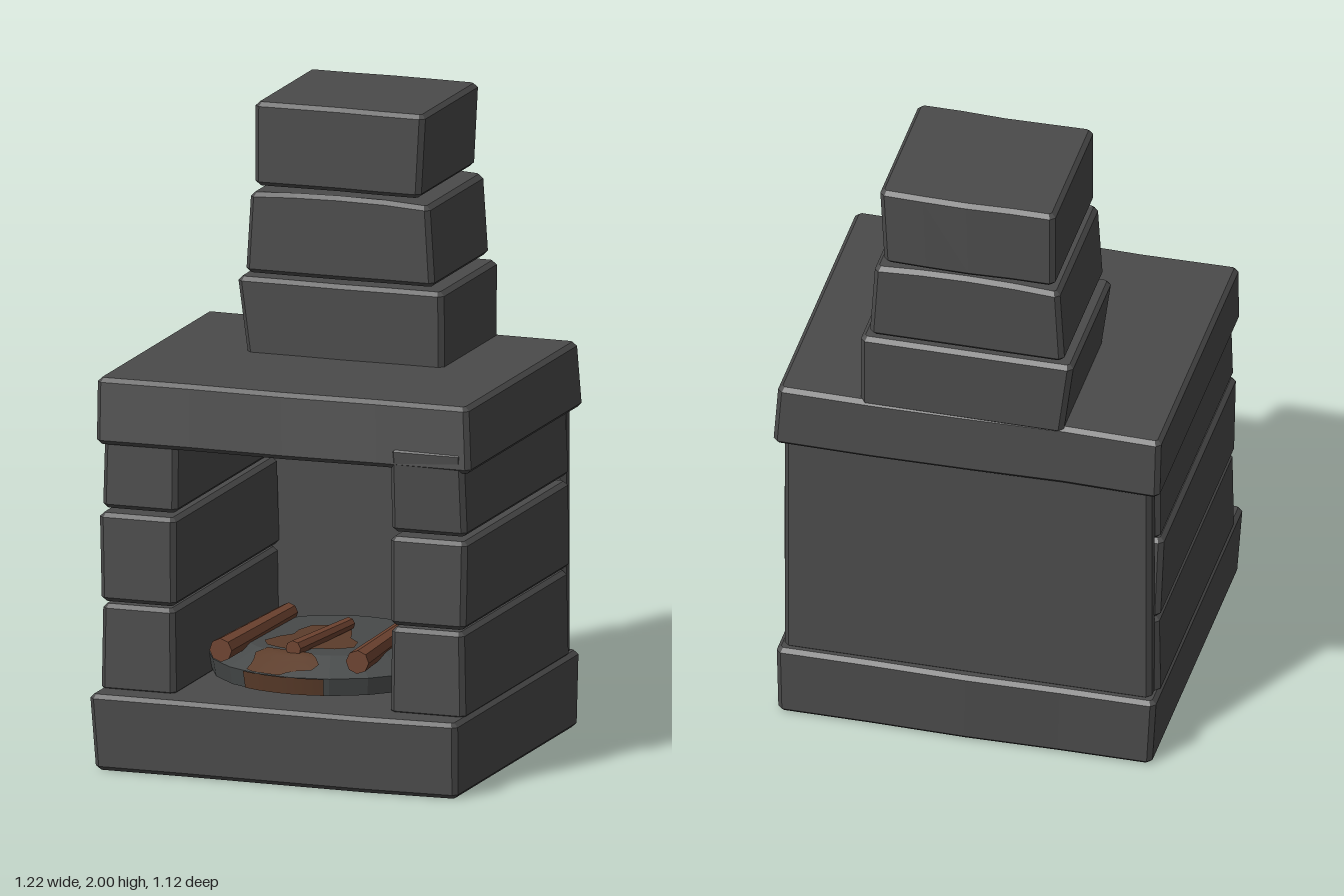
import * as THREE from 'three';

const material = (name, color) => {
  const m = new THREE.MeshStandardMaterial({ color });
  m.name = name;
  return m;
};

// Rough hewn block: chamfered plan outline, extruded and then skewed.
// front/back: bulge at three points along x; top: shift of [left, right, back, front] at the top;
// arch: rise of the middle of the top face.
function stoneGeometry([x0, x1], [y0, y1], [z0, z1], { front = [0, 0, 0], back = [0, 0, 0], top = [0, 0, 0, 0], arch = 0 } = {}) {
  const b = 0.013, c = 0.015, w = x1 - x0, h = y1 - y0;
  const at = (i) => x0 + w * (0.25 + 0.25 * i);
  const pts = [[x0, z1 - c], [x0 + c, z1]];
  front.forEach((o, i) => pts.push([at(i), z1 + o]));
  pts.push([x1 - c, z1], [x1, z1 - c], [x1, z0 + c], [x1 - c, z0]);
  for (let i = 2; i >= 0; i--) pts.push([at(i), z0 - back[i]]);
  pts.push([x0 + c, z0], [x0, z0 + c]);

  const shape = new THREE.Shape(pts.map(([x, z]) => new THREE.Vector2(x, -z)));
  const g = new THREE.ExtrudeGeometry(shape, {
    depth: h - 2 * b, bevelThickness: b, bevelSize: b, bevelOffset: -b, bevelSegments: 1,
  });
  g.rotateX(-Math.PI / 2).translate(0, y0 + b, 0);

  const p = g.attributes.position;
  for (let i = 0; i < p.count; i++) {
    const x = p.getX(i), y = p.getY(i), z = p.getZ(i);
    const u = (x - x0) / w, v = (z - z0) / (z1 - z0), t = (y - y0) / h;
    p.setXYZ(i,
      x + t * (top[0] * (1 - u) + top[1] * u),
      y + t * arch * 4 * u * (1 - u),
      z + t * (top[2] * (1 - v) + top[3] * v));
  }
  g.computeVertexNormals();
  return g;
}

export function createModel() {
  const stone = material('dark stone', 0x4b4b4b);
  const ash = material('ash grey', 0x474a4a);
  const wood = material('log wood', 0x6e4330);
  const ember = material('ember brown', 0x5c3d2b);

  const model = new THREE.Group();
  model.name = 'fireplace';
  const add = (name, geometry, mat, parent = model) => {
    const mesh = new THREE.Mesh(geometry, mat);
    mesh.name = name;
    parent.add(mesh);
    return mesh;
  };

  // Hearth slab, back wall and mantel
  add('hearthSlab', stoneGeometry([-0.585, 0.597], [0, 0.24], [-0.545, 0.535],
    { front: [0, 0.007, 0.012], back: [0, 0.005, 0], top: [-0.015, 0.003, -0.01, 0.013] }), stone);
  add('backWall', stoneGeometry([-0.58, 0.58], [0.23, 1.02], [-0.53, -0.47]), stone);
  add('mantel', stoneGeometry([-0.612, 0.61], [1.005, 1.21], [-0.557, 0.455],
    { front: [-0.004, 0.004, -0.003], back: [-0.008, 0, 0.004], top: [-0.003, -0.014, 0.008, -0.018] }), stone);

  // Three stacked stones on each side of the fire opening
  const rows = [
    [[0.23, 0.505], [-0.487, 0.452], [0.004, -0.005, 0.003, 0]],
    [[0.512, 0.79], [-0.49, 0.452], [0, 0.006, 0.024, 0]],
    [[0.803, 1.07], [-0.487, 0.44], [0, -0.006, 0.02, 0.014]],
  ];
  for (const [side, name] of [[1, 'left'], [-1, 'right']]) {
    rows.forEach(([y, z, top], i) => {
      const x = side > 0 ? [0.347, 0.592] : [-0.597, -0.353];
      const shift = side > 0 ? top : [-top[1], -top[0], top[2], i === 2 ? -0.006 : top[3]];
      add(`${name}PillarStone${i + 1}`, stoneGeometry(x, y, z, { top: shift }), stone);
    });
  }

  // Loose chimney stones
  add('chimneyStone1', stoneGeometry([-0.305, 0.335], [1.19, 1.445], [-0.548, -0.056],
    { front: [0, 0.004, 0], top: [-0.033, 0, -0.002, 0.004] }), stone);
  add('chimneyStone2', stoneGeometry([-0.31, 0.306], [1.46, 1.712], [-0.552, -0.05],
    { front: [0.003, 0.004, 0], top: [0.016, -0.016, 0.003, 0], arch: 0.012 }), stone);
  add('chimneyStone3', stoneGeometry([-0.28, 0.26], [1.735, 1.998], [-0.55, -0.052],
    { front: [-0.003, -0.006, 0], back: [0, 0.006, 0.004], top: [0, 0.015, 0.003, 0] }), stone);

  // Fire bed: shallow disc with a sloping shoulder
  const fire = new THREE.Group();
  fire.name = 'fire';
  model.add(fire);
  const R = 0.385, shoulder = 0.28, rimY = 0.305, topY = 0.355;
  const bedY = (r) => r < shoulder ? topY : topY - (topY - rimY) * (r - shoulder) / (R - shoulder);
  const profile = [[0, 0.25], [R - 0.01, 0.25], [R, rimY], [shoulder, topY], [0, topY]];
  const bed = new THREE.LatheGeometry(profile.map(([r, y]) => new THREE.Vector2(r, y)), 20).toNonIndexed();
  bed.computeVertexNormals();
  add('ashBed', bed, ash, fire);

  // Glowing patches draped over the bed
  const patch = (name, cx, cz, rx, rz, phase) => {
    const g = new THREE.RingGeometry(0.001, 1, 18, 5).rotateX(-Math.PI / 2);
    const p = g.attributes.position;
    for (let i = 0; i < p.count; i++) {
      const a = Math.atan2(p.getZ(i), p.getX(i));
      const k = 0.85 + 0.15 * Math.sin(3 * a + phase) + 0.08 * Math.sin(5 * a);
      let x = cx + p.getX(i) * rx * k, z = cz + p.getZ(i) * rz * k;
      const r = Math.hypot(x, z), s = r > R ? R / r : 1;
      x *= s;
      z *= s;
      p.setXYZ(i, x, bedY(r * s) + 0.004, z);
    }
    g.computeVertexNormals();
    add(name, g, ember, fire);
  };
  patch('emberPatchCentre', -0.03, 0.08, 0.15, 0.2, 0.5);
  patch('emberPatchFront', -0.06, 0.32, 0.13, 0.09, 2);
  const rim = new THREE.CylinderGeometry(R + 0.003, R - 0.007, 0.054, 6, 1, true, -0.45, 0.72);
  rim.translate(0, 0.278, 0);
  add('emberRim', rim, ember, fire);

  // Logs lying towards the opening: [front x, y, z], [back x, y, z], radius
  const logs = [
    [[-0.245, 0.362, 0.34], [-0.22, 0.368, -0.2], 0.037],
    [[-0.03, 0.37, 0.28], [0.02, 0.376, -0.08], 0.026],
    [[0.205, 0.362, 0.35], [0.19, 0.368, -0.12], 0.037],
  ];
  logs.forEach(([f, k, radius], i) => {
    const a = new THREE.Vector3(...f), b = new THREE.Vector3(...k);
    const g = new THREE.CylinderGeometry(radius, radius * 0.8, a.distanceTo(b), 8).toNonIndexed();
    g.computeVertexNormals();
    const log = add(`log${i + 1}`, g, wood, fire);
    log.position.copy(a).add(b).multiplyScalar(0.5);
    log.quaternion.setFromUnitVectors(new THREE.Vector3(0, 1, 0), a.sub(b).normalize());
  });

  return model;
}
